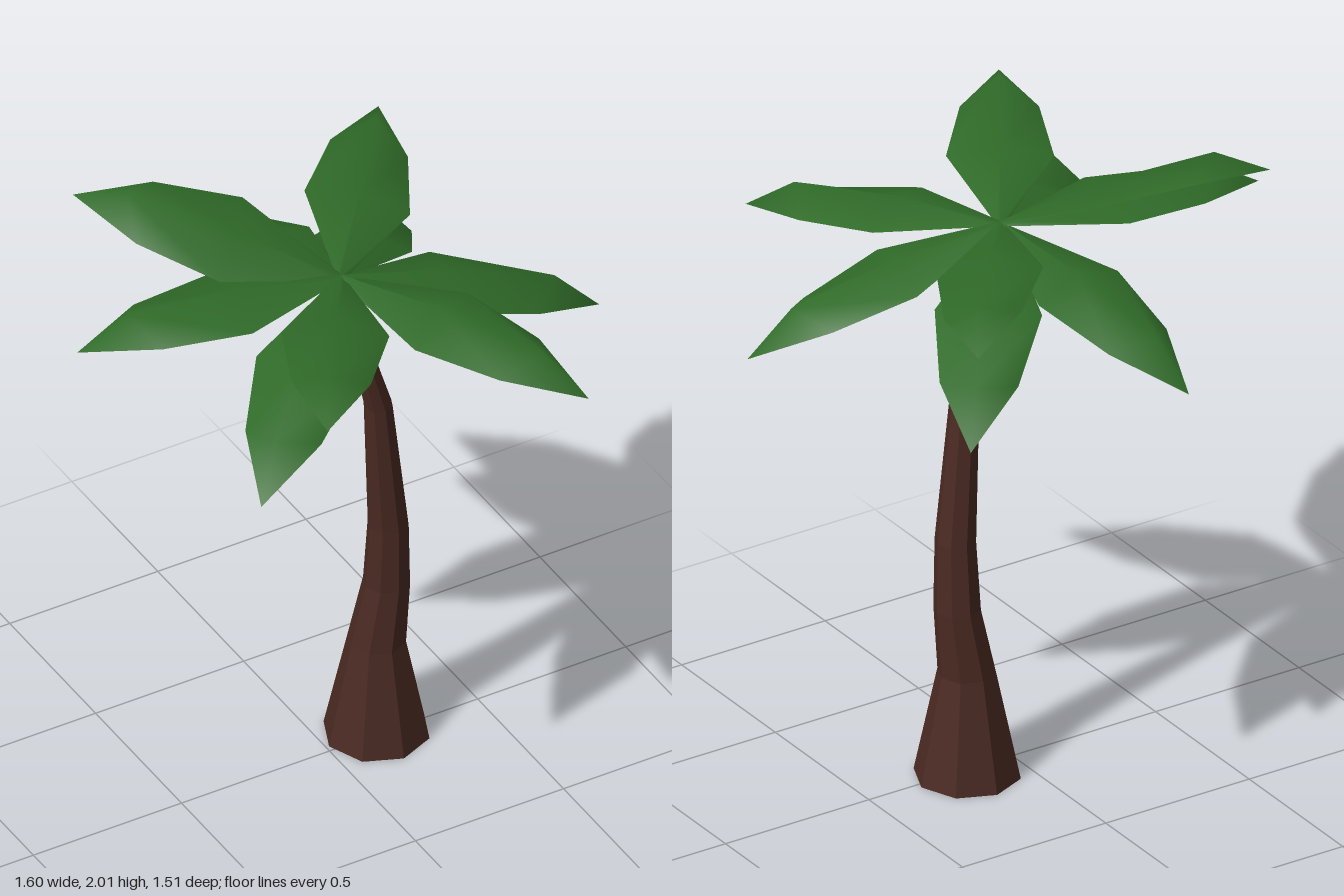
import * as THREE from 'three';

const CROWN = new THREE.Vector3(0.02, 1.75, 0.03);

// Faceted, bending trunk lofted through octagonal rings: [x, y, z, radius]
function createTrunk(material) {
  const rings = [
    [0.17, 0, -0.02, 0.16],
    [0.17, 0.34, -0.018, 0.088],
    [0.196, 0.55, -0.006, 0.071],
    [0.195, 0.77, 0.005, 0.062],
    [0.152, 1.23, 0.021, 0.044],
    [0.02, 1.73, 0.03, 0.018],
  ];
  const sides = 8;
  const positions = [];
  const index = [];
  for (const [x, y, z, r] of rings) {
    for (let i = 0; i < sides; i++) {
      const a = (i / sides) * Math.PI * 2;
      positions.push(x + r * Math.sin(a), y, z + r * Math.cos(a));
    }
  }
  for (let j = 0; j < rings.length - 1; j++) {
    for (let i = 0; i < sides; i++) {
      const a = j * sides + i;
      const b = j * sides + ((i + 1) % sides);
      index.push(a, b, b + sides, a, b + sides, a + sides);
    }
  }
  // Bottom and top caps
  const top = (rings.length - 1) * sides;
  for (let i = 1; i < sides - 1; i++) {
    index.push(0, i + 1, i, top, top + i, top + i + 1);
  }
  const geometry = new THREE.BufferGeometry();
  geometry.setAttribute('position', new THREE.Float32BufferAttribute(positions, 3));
  geometry.setIndex(index);
  geometry.computeVertexNormals();
  const trunk = new THREE.Mesh(geometry, material);
  trunk.name = 'trunk';
  return trunk;
}

// One arched leaf along +z with a raised midrib.
// Stations: [edge distance, half width, edge height, rib distance, rib height]
function createLeafGeometry(length) {
  const stations = [
    [0, 0.012, 0, 0, 0.012],
    [0.34, 0.158, 0.02, 0.32, 0.065],
    [0.605, 0.116, 0.02, 0.67, 0.085],
  ];
  const positions = [];
  const index = [];
  for (const [s, w, h, ribS, ribH] of stations) {
    positions.push(w, h, s, 0, ribH, ribS, -w, h, s);
  }
  positions.push(0, 0, length);
  for (let j = 0; j < 2; j++) {
    for (let i = 0; i < 2; i++) {
      const a = j * 3 + i;
      index.push(a, a + 1, a + 4, a, a + 4, a + 3);
    }
  }
  index.push(6, 7, 9, 7, 8, 9);
  // Wind all faces so the front is the upper side
  for (let i = 0; i < index.length; i += 3) {
    [index[i + 1], index[i + 2]] = [index[i + 2], index[i + 1]];
  }
  const geometry = new THREE.BufferGeometry();
  geometry.setAttribute('position', new THREE.Float32BufferAttribute(positions, 3));
  geometry.setIndex(index);
  geometry.computeVertexNormals();
  return geometry;
}

export function createModel() {
  const model = new THREE.Group();
  model.name = 'palmTree';
  const bark = new THREE.MeshStandardMaterial({ color: 0x4a2a22, flatShading: true });
  const green = new THREE.MeshStandardMaterial({ color: 0x2f6a28, side: THREE.DoubleSide });

  model.add(createTrunk(bark));

  // Crown: tip position and roll of each leaf
  const leaves = [
    [-0.12, 1.5, -0.76, 0],
    [0.53, 1.75, -0.63, 0.18],
    [0.8, 1.46, 0.19, 0],
    [0.44, 1.62, 0.75, 0],
    [-0.43, 1.82, 0.73, 0],
    [-0.57, 1.5, 0.585, 0],
    [-0.8, 1.71, -0.09, 0],
    [-0.6, 1.97, -0.46, -0.28],
    [0.51, 1.4, -0.56, 0],
  ];
  const crown = new THREE.Group();
  crown.name = 'crown';
  crown.position.copy(CROWN);
  for (const [x, y, z, roll] of leaves) {
    const direction = new THREE.Vector3(x, y, z).sub(CROWN);
    const leaf = new THREE.Mesh(createLeafGeometry(direction.length()), green);
    leaf.name = 'leaf';
    leaf.rotation.order = 'YXZ';
    leaf.rotation.y = Math.atan2(direction.x, direction.z);
    leaf.rotation.x = -Math.atan2(direction.y, Math.hypot(direction.x, direction.z));
    leaf.rotation.z = roll;
    crown.add(leaf);
  }
  model.add(crown);
  return model;
}
